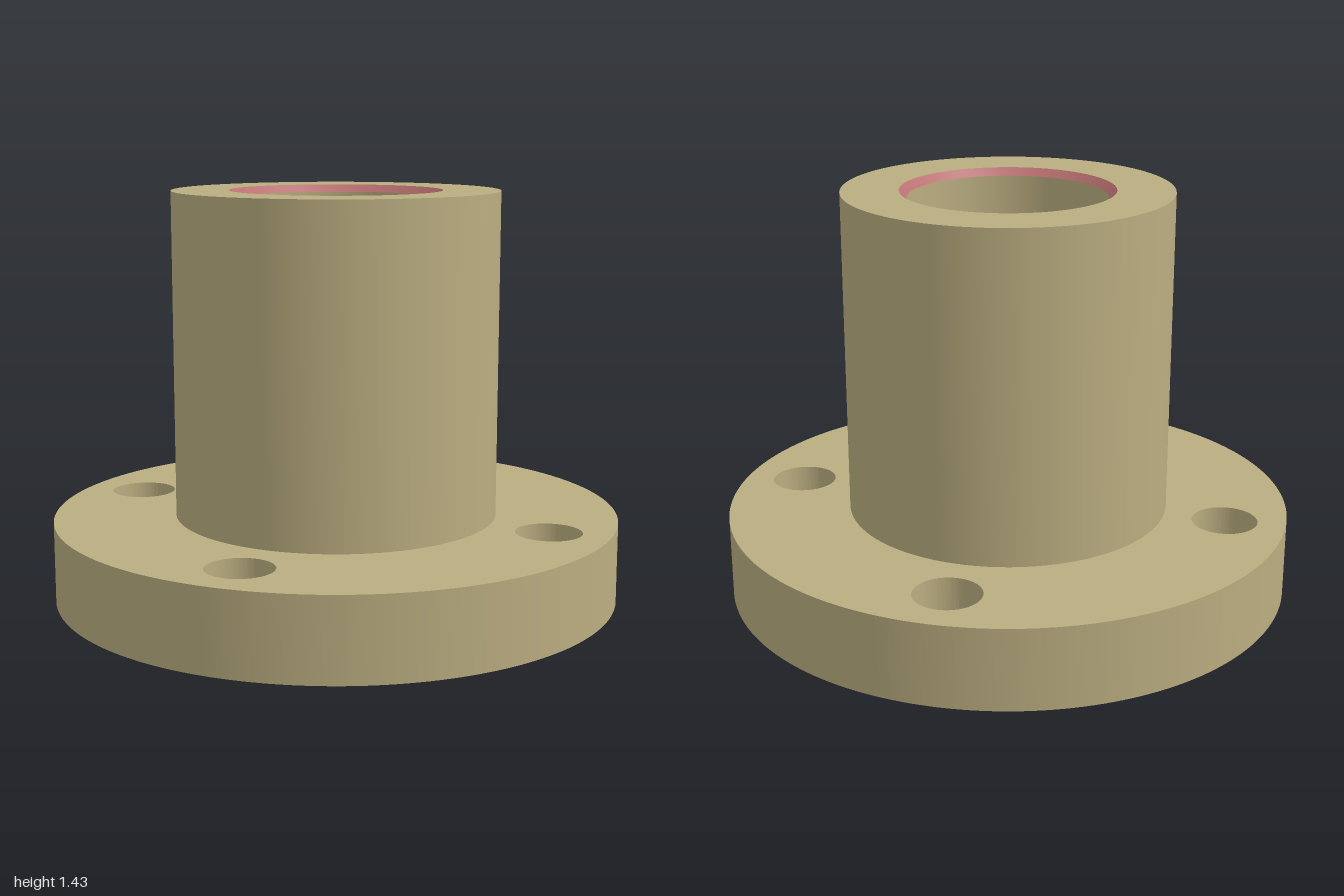
import * as THREE from 'three';
import { toCreasedNormals } from 'three/addons/utils/BufferGeometryUtils.js';

const FLANGE_R = 1, FLANGE_H = 0.286;
const BARREL_R = 0.571, TOP = 1.43;
const BORE_R = 0.345, CHAMFER = 0.026;
const BOLT_POS = 0.556, BOLT_R = 0.115;
const SEGMENTS = 96;

export function createModel() {
  const group = new THREE.Group();
  group.name = 'flangedBushing';

  const bronze = new THREE.MeshStandardMaterial({ color: 0xbaad80 });
  bronze.name = 'bronze';
  const rose = new THREE.MeshStandardMaterial({ color: 0xba7070 });
  rose.name = 'rose';

  const add = (name, geometry, material) => {
    const mesh = new THREE.Mesh(toCreasedNormals(geometry, 0.5), material);
    mesh.name = name;
    group.add(mesh);
  };
  const circle = (x, y, r, Type) => new Type().absarc(x, y, r, 0, Math.PI * 2, false);
  const lathe = (...points) =>
    new THREE.LatheGeometry(points.map(([r, y]) => new THREE.Vector2(r, y)), SEGMENTS);

  // Round flange with the central bore and four bolt holes
  const disc = circle(0, 0, FLANGE_R, THREE.Shape);
  disc.holes.push(circle(0, 0, BORE_R, THREE.Path));
  for (const sx of [-1, 1]) {
    for (const sz of [-1, 1]) {
      disc.holes.push(circle(sx * BOLT_POS, sz * BOLT_POS, BOLT_R, THREE.Path));
    }
  }
  const flange = new THREE.ExtrudeGeometry(disc, {
    depth: FLANGE_H, bevelEnabled: false, curveSegments: SEGMENTS,
  });
  flange.rotateX(-Math.PI / 2);
  add('flange', flange, bronze);

  // Barrel wall and its flat top ring
  add('barrel', lathe([BARREL_R, FLANGE_H], [BARREL_R, TOP], [BORE_R + CHAMFER, TOP]), bronze);

  // Chamfer at the mouth of the bore
  add('boreChamfer', lathe([BORE_R + CHAMFER, TOP], [BORE_R, TOP - CHAMFER]), rose);

  // Inner wall of the barrel
  add('bore', lathe([BORE_R, TOP - CHAMFER], [BORE_R, FLANGE_H]), bronze);

  return group;
}
